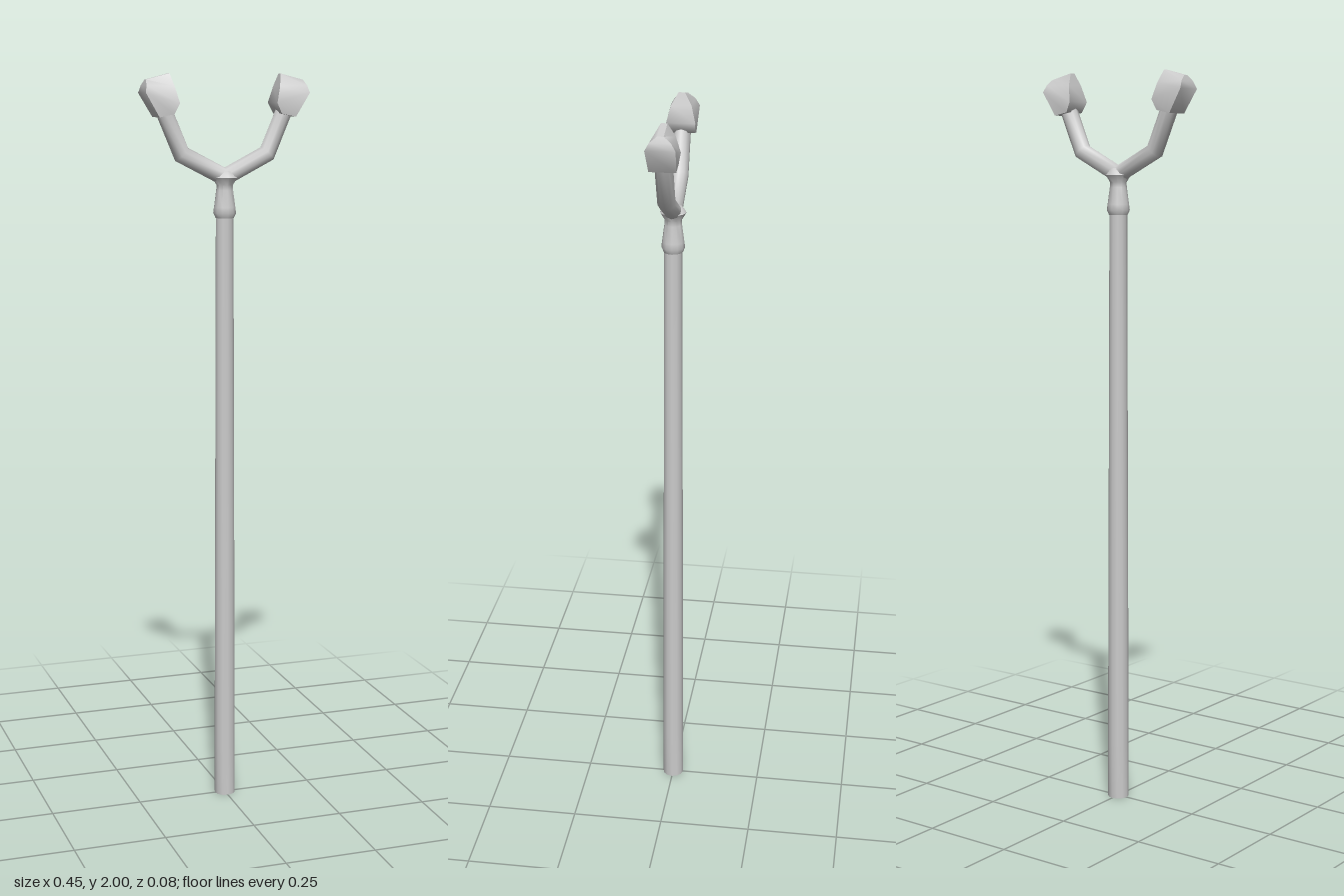
import * as THREE from 'three';
import { toCreasedNormals } from 'three/addons/utils/BufferGeometryUtils.js';

const material = new THREE.MeshStandardMaterial({ color: 0xcccccc, side: THREE.DoubleSide });

// Skin a list of equal-sized rings (arrays of Vector3) and close both ends.
function loft(rings, crease) {
  const n = rings[0].length;
  const points = rings.flat();
  const index = [];
  for (let r = 0; r < rings.length - 1; r++) {
    for (let i = 0; i < n; i++) {
      const a = r * n + i, b = r * n + (i + 1) % n;
      index.push(a, b, a + n, b, b + n, a + n);
    }
  }
  const last = (rings.length - 1) * n;
  for (let i = 1; i < n - 1; i++) {
    index.push(0, i + 1, i, last, last + i, last + i + 1);
  }
  const geometry = new THREE.BufferGeometry().setFromPoints(points);
  geometry.setIndex(index);
  return toCreasedNormals(geometry, crease);
}

function add(group, name, geometry) {
  const mesh = new THREE.Mesh(geometry, material);
  mesh.name = name;
  group.add(mesh);
}

const lathe = (profile, sides) => toCreasedNormals(
  new THREE.LatheGeometry(profile.map(([r, y]) => new THREE.Vector2(r, y)), sides), 0.9);

// Bent fork bar: round rings, mitred at each bend.
function forkGeometry(radius, sides) {
  const path = [[-0.17, 1.91], [-0.119, 1.79], [0, 1.729], [0.119, 1.79], [0.17, 1.91]]
    .map(([x, y]) => new THREE.Vector3(x, y, 0));
  const rings = path.map((p, k) => {
    const before = p.clone().sub(path[Math.max(k - 1, 0)]).normalize();
    const after = path[Math.min(k + 1, path.length - 1)].clone().sub(p).normalize();
    const tangent = before.clone().add(after).normalize();
    const mitre = 1 / tangent.dot(before.lengthSq() ? before : after);
    const side = new THREE.Vector3(-tangent.y, tangent.x, 0);
    return Array.from({ length: sides }, (_, i) => {
      const a = (i / sides) * Math.PI * 2;
      return p.clone().addScaledVector(side, Math.cos(a) * radius * mitre)
        .add(new THREE.Vector3(0, 0, Math.sin(a) * radius));
    });
  });
  return loft(rings, 1.2);
}

// Faceted prong head: inner x, y, outer x, y and half depth of each section.
function headGeometry(sign) {
  const sections = [
    [0.148, 1.894, 0.188, 1.886, 0.034],
    [0.134, 1.922, 0.225, 1.948, 0.038],
    [0.145, 1.965, 0.221, 1.967, 0.027],
    [0.153, 1.998, 0.216, 1.982, 0.008],
  ];
  const rings = sections.map(([xi, yi, xo, yo, d]) => {
    const ring = [[xi, yi, d], [xo, yo, d], [xo, yo, -d], [xi, yi, -d]]
      .map(([x, y, z]) => new THREE.Vector3(sign * x, y, z));
    return sign > 0 ? ring : ring.reverse();
  });
  return loft(rings, 1.0);
}

export function createModel() {
  const model = new THREE.Group();
  model.name = 'forkedStaff';

  // Gently tapered pole
  add(model, 'shaft', lathe([[0, 0], [0.029, 0], [0.029, 0.15], [0.024, 1.64], [0, 1.64]], 12));

  // Flared socket and the knob where the fork joins
  add(model, 'collar', lathe([[0, 1.622], [0.025, 1.622], [0.031, 1.635], [0.029, 1.65],
    [0.023, 1.695], [0.022, 1.708], [0.034, 1.728], [0.022, 1.745], [0, 1.75]], 12));

  add(model, 'fork', forkGeometry(0.023, 10));

  // Mirrored prong heads
  add(model, 'leftHead', headGeometry(1));
  add(model, 'rightHead', headGeometry(-1));
  return model;
}
